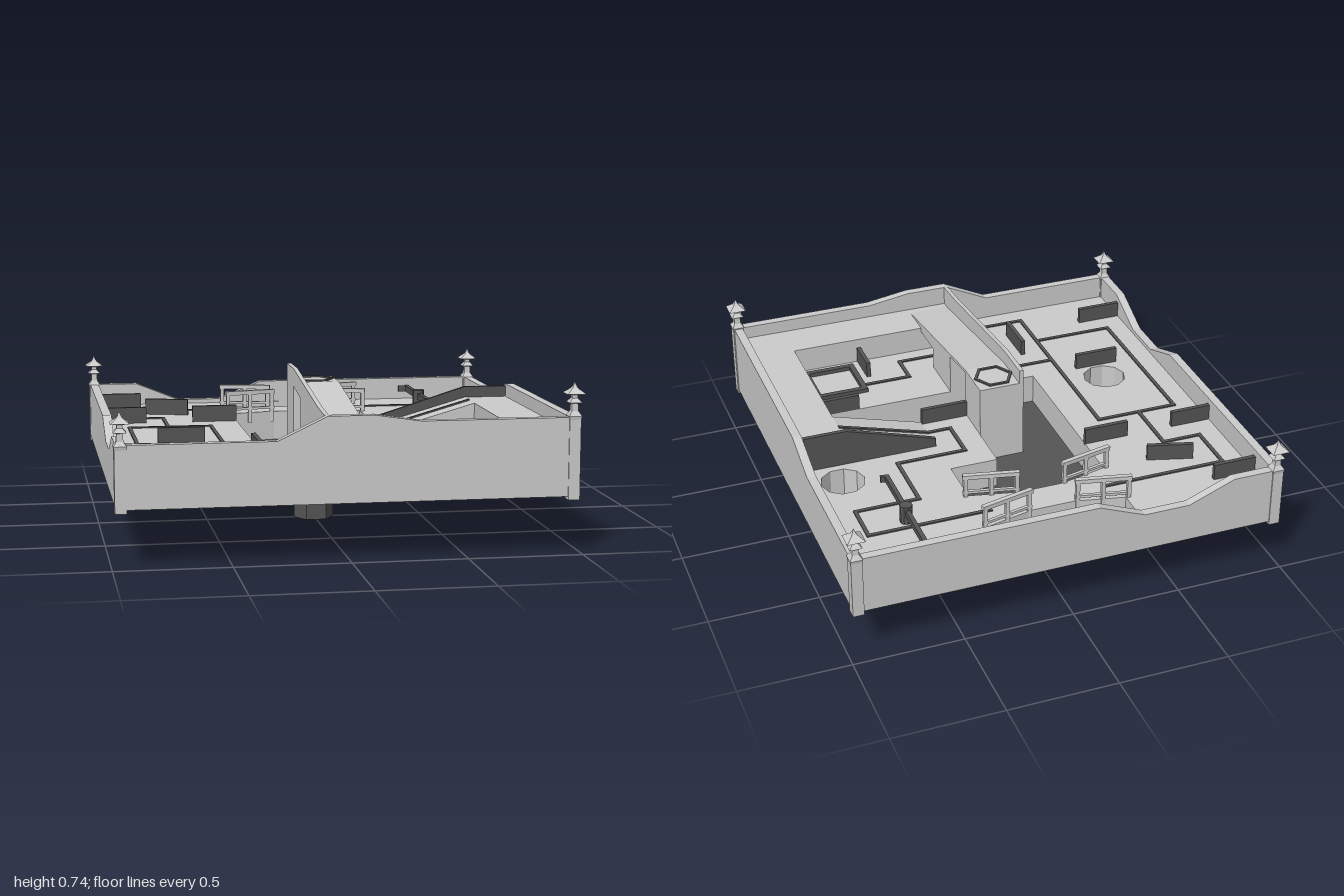
import * as THREE from 'three';

const light = new THREE.MeshStandardMaterial({ color: 0xcccccc, flatShading: true, side: THREE.DoubleSide });
const dark = new THREE.MeshStandardMaterial({ color: 0x555555, flatShading: true, side: THREE.DoubleSide });

const LOW = 0.41, HIGH = 0.53, BASE = 0.25;

export function createModel() {
  const model = new THREE.Group();

  const add = (name, geometry, material = light) => {
    const mesh = new THREE.Mesh(geometry, material);
    mesh.name = name;
    model.add(mesh);
    return mesh;
  };
  const extrude = (points, depth, holes = []) => {
    const shape = new THREE.Shape(points.map(p => new THREE.Vector2(...p)));
    for (const h of holes) shape.holes.push(new THREE.Path(h.map(p => new THREE.Vector2(...p))));
    return new THREE.ExtrudeGeometry(shape, { depth, bevelEnabled: false });
  };
  // Outlines given as (x, y), (z, y) and (x, z), extruded along the remaining axis
  const alongZ = (pts, z0, z1, holes) => extrude(pts, z1 - z0, holes).translate(0, 0, z0);
  const alongX = (pts, x0, x1, holes) => extrude(pts, x1 - x0, holes).rotateY(-Math.PI / 2).translate(x1, 0, 0);
  const alongY = (pts, y0, y1, holes) => extrude(pts, y1 - y0, holes).rotateX(Math.PI / 2).translate(0, y1, 0);
  const box = (name, x0, x1, y0, y1, z0, z1, material) =>
    add(name, new THREE.BoxGeometry(x1 - x0, y1 - y0, z1 - z0)
      .translate((x0 + x1) / 2, (y0 + y1) / 2, (z0 + z1) / 2), material);
  // Upright bar between two floor points
  const bar = (name, [ax, az], [bx, bz], y0, y1, width, material = dark, extra = 0) => {
    const dx = bx - ax, dz = bz - az;
    const mesh = add(name, new THREE.BoxGeometry(Math.hypot(dx, dz) + extra, y1 - y0, width), material);
    mesh.position.set((ax + bx) / 2, (y0 + y1) / 2, (az + bz) / 2);
    mesh.rotation.y = -Math.atan2(dz, dx);
    return mesh;
  };
  const ring = (cx, cz, r, n, turn = 0) => Array.from({ length: n }, (_, i) => {
    const a = turn + (i / n) * Math.PI * 2;
    return [cx + r * Math.cos(a), cz + r * Math.sin(a)];
  });

  // Base plate and main floor with its pits
  box('basePlate', -0.945, 0.945, BASE, 0.27, -0.945, 0.945, dark);
  const centralPit = [[-0.32, -0.55], [-0.1, -0.6], [0.1, -0.6], [0.32, -0.55], [0.32, -0.32],
    [0.1, -0.32], [0.1, 0.1], [0.74, 0.1], [0.74, 0.31], [-0.32, 0.31]];
  const backPit = [[-0.32, -0.935], [0.32, -0.935], [0.32, -0.8], [0.1, -0.75], [-0.1, -0.75], [-0.32, -0.8]];
  add('floor', alongY([[-0.95, -0.95], [0.95, -0.95], [0.95, 0.95], [-0.95, 0.95]], 0.26, LOW,
    [centralPit, backPit, ring(0.8, -0.25, 0.1, 10), ring(-0.64, 0.19, 0.1, 10)]));
  box('pitLedge', -0.32, 0.32, 0.26, 0.36, -0.945, -0.91);

  // Outer walls with stepped tops
  const wallOutline = top => [[-0.98, BASE], [0.98, BASE], ...top];
  add('frontWall', alongZ(wallOutline([[0.98, 0.59], [0.3, 0.59], [0.1, 0.62], [-0.1, 0.62],
    [-0.31, 0.52], [-0.98, 0.52]]), 0.94, 0.98));
  add('backWall', alongZ(wallOutline([[0.98, 0.515], [-0.12, 0.515], [-0.33, 0.43], [-0.54, 0.43],
    [-0.75, 0.515], [-0.98, 0.515]]), -0.98, -0.94));
  add('leftWall', alongX(wallOutline([[0.98, 0.59], [-0.1, 0.59], [-0.32, 0.515], [-0.98, 0.515]]), 0.94, 0.98));
  add('rightWall', alongX(wallOutline([[0.98, 0.52], [0.74, 0.52], [0.53, 0.43], [0.32, 0.43],
    [0.1, 0.515], [-0.98, 0.515]]), -0.98, -0.94));

  // Corner posts with tiered roofs
  const postProfile = lift => [[0, 0.235], [0.025, 0.235], [0.025, 0.5 + lift], [0.028, 0.515 + lift],
    [0.015, 0.535 + lift], [0.013, 0.568 + lift], [0.028, 0.572 + lift], [0.012, 0.59 + lift],
    [0.012, 0.604 + lift], [0.04, 0.61 + lift], [0.013, 0.632 + lift], [0.008, 0.64 + lift], [0, 0.66 + lift]]
    .map(([r, y]) => new THREE.Vector2(r * Math.SQRT2, y));
  for (const sx of [-1, 1]) for (const sz of [-1, 1]) {
    const lift = sx > 0 && sz > 0 ? 0.08 : 0;
    add('cornerPost', new THREE.LatheGeometry(postProfile(lift), 4, Math.PI / 4)
      .translate(sx * 0.96, 0, sz * 0.96));
  }

  // Raised terrace around the sunken room, and the slope leading up to it
  add('terrace', alongY([[0.74, 0.1], [0.95, 0.1], [0.95, 0.95], [-0.1, 0.95], [-0.1, 0.74], [0.74, 0.74]],
    0.27, HIGH));
  add('terraceSlope', alongZ([[0.32, 0.4], [0.95, 0.4], [0.95, HIGH], [0.74, HIGH], [0.32, LOW]], -0.1, 0.1));
  add('slopeGuard', alongZ([[0.32, 0.4], [0.94, 0.4], [0.94, 0.58], [0.74, 0.58], [0.32, 0.45]],
    -0.12, -0.1), dark);

  // Central tower and ramp with two passages through it, and the side rail
  const arch = [[0.1, 0.28], [0.31, 0.28], [0.31, 0.6], [0.1, 0.63]];
  const tunnel = [[0.56, LOW], [0.74, LOW], [0.74, 0.51], [0.56, 0.51]];
  add('ramp', alongX([[-0.1, 0.26], [0.9, 0.26], [0.9, HIGH], [0.1, 0.645], [-0.1, 0.645]],
    -0.095, 0.1, [arch, tunnel]));
  add('rampRail', alongX([[-0.1, 0.26], [0.94, 0.26], [0.94, 0.62], [0.78, 0.63], [0.1, 0.71], [-0.1, 0.71]],
    -0.11, -0.09, [arch, tunnel]));

  // Hexagonal shaft through the tower
  add('shaft', alongY(ring(0, 0, 0.092, 6), 0, 0.652, [ring(0, 0, 0.078, 6)]), dark);
  for (const y of [0.26, 0.62])
    add('shaftPlug', alongY(ring(0, 0, 0.08, 6), y - 0.01, y), dark);

  // Maze lines on the floor
  const lines = [
    [[-0.27, -0.69], [-0.84, -0.69], [-0.84, -0.45], [-0.66, -0.45], [-0.66, -0.17]],
    [[-0.46, 0.62], [-0.84, 0.62], [-0.84, -0.17], [-0.46, -0.17], [-0.46, 0.84], [-0.22, 0.84],
      [-0.22, 0.42], [-0.46, 0.42]],
    [[-0.22, 0.66], [0.24, 0.66], [0.24, 0.51], [0.48, 0.51]],
    [[0.27, -0.69], [0.82, -0.69], [0.82, -0.5], [0.53, -0.5], [0.53, -0.2], [0.21, -0.2], [0.21, 0], [0.32, 0]],
  ];
  for (const path of lines)
    for (let i = 1; i < path.length; i++)
      bar('mazeLine', path[i - 1], path[i], LOW - 0.005, LOW + 0.006, 0.017, dark, 0.017);
  add('slopeLine', alongZ([[0.32, LOW], [0.74, HIGH], [0.74, HIGH + 0.007], [0.32, LOW + 0.007]],
    -0.008, 0.008), dark);

  // Square frame in the sunken room
  const square = (x0, x1, z0, z1) => [[x0, z0], [x1, z0], [x1, z1], [x0, z1]];
  add('squareFrame', alongY(square(0.465, 0.715, 0.445, 0.695), 0.4, 0.43, [square(0.49, 0.69, 0.47, 0.67)]), dark);

  // Low free-standing barriers
  const barriers = [
    [[-0.94, -0.8], [-0.74, -0.8]], [[-0.94, -0.33], [-0.75, -0.33]], [[-0.53, -0.33], [-0.32, -0.33]],
    [[-0.73, -0.61], [-0.53, -0.55]], [[-0.75, 0.31], [-0.54, 0.31]], [[-0.94, 0.73], [-0.73, 0.73]],
    [[-0.35, 0.52], [-0.35, 0.73]], [[0.42, 0.58], [0.42, 0.74]],
    [[0.1, 0.09], [0.32, 0.09]], [[0.55, 0.32], [0.74, 0.32]],
  ];
  for (const [a, b] of barriers) bar('barrier', a, b, 0.4, 0.485, 0.02);

  // Turnstile arm on its pivot
  add('turnstilePivot', new THREE.CylinderGeometry(0.028, 0.028, 0.09, 10).translate(0.635, 0.45, -0.64), dark);
  bar('turnstileArm', [0.635, -0.92], [0.635, -0.37], 0.45, 0.48, 0.02);
  bar('turnstileHook', [0.59, -0.915], [0.64, -0.91], 0.45, 0.48, 0.015);
  bar('turnstileHook', [0.63, -0.375], [0.665, -0.37], 0.45, 0.48, 0.015);

  // Bridge fences: two rails and three posts each
  for (const s of [-1, 1])
    for (const [x0, z0, x1, z1] of [[0.1, -0.745, 0.345, -0.8], [0.1, -0.6, 0.345, -0.545]]) {
      const a = [s * x0, z0], b = [s * x1, z1];
      bar('fenceRail', a, b, 0.5, 0.52, 0.022, light);
      bar('fenceRail', a, b, 0.425, 0.437, 0.015, light);
      for (const t of [0.05, 0.5, 0.95]) {
        const x = a[0] + (b[0] - a[0]) * t, z = a[1] + (b[1] - a[1]) * t;
        box('fencePost', x - 0.009, x + 0.009, 0.36, 0.51, z - 0.009, z + 0.009);
      }
    }

  return model;
}
